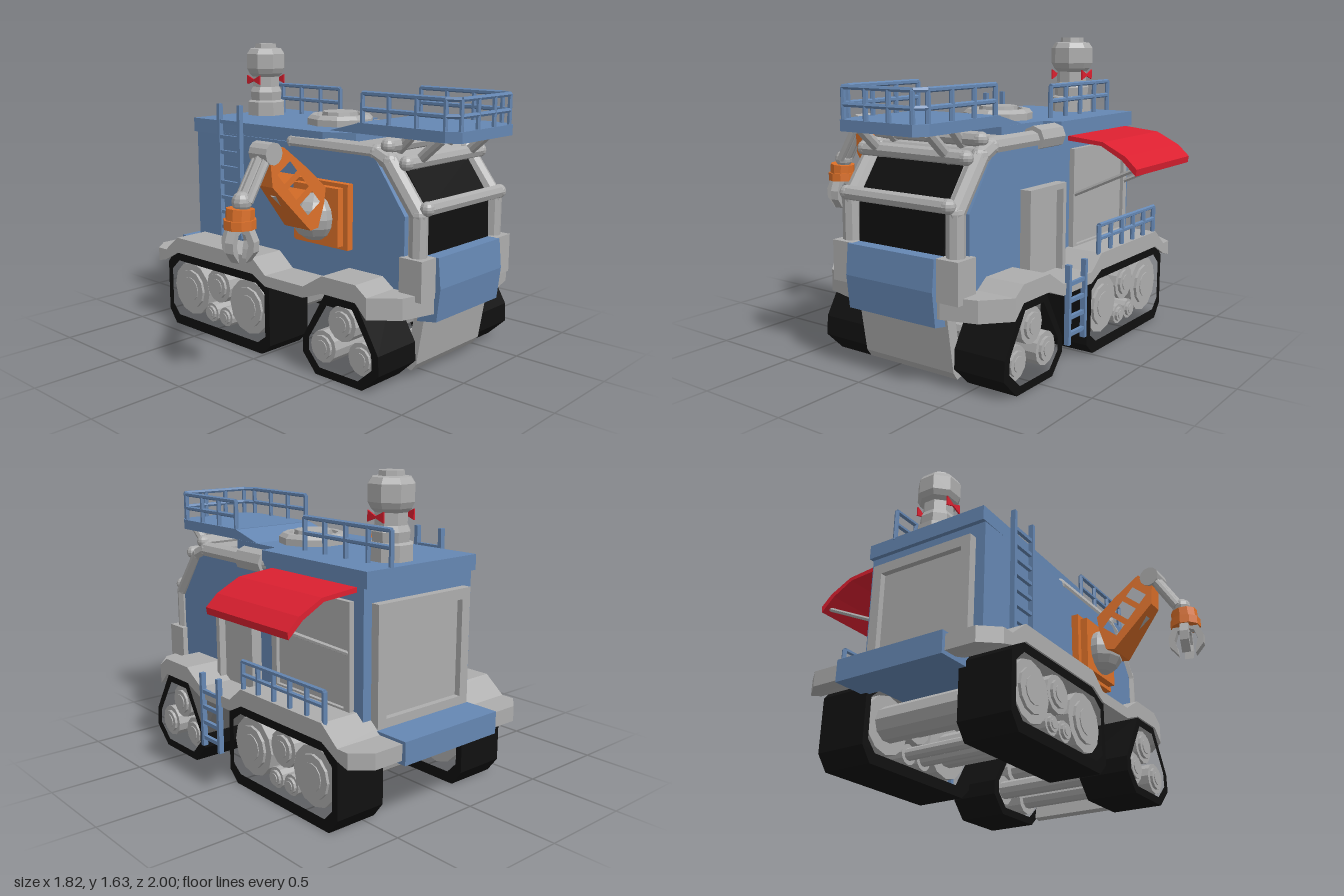
import * as THREE from 'three';

export function createModel() {
  const root = new THREE.Group();
  root.name = 'trackedRover';
  const mat = (name, color) => { const m = new THREE.MeshStandardMaterial({ color }); m.name = name; return m; };
  const blue = mat('blue paint', 0x6587b3), gray = mat('gray metal', 0xadadad), black = mat('black rubber', 0x101010);
  const orange = mat('orange paint', 0xdc7029), red = mat('red canvas', 0xdb2030);
  const CX = 0.145;                                   // hull centre line
  const V = (x, y, z) => new THREE.Vector3(x, y, z);

  // Helpers: every part gets faceted normals
  function add(name, m, geo, parent = root) {
    const g = geo.index ? geo.toNonIndexed() : geo;
    g.computeVertexNormals();
    const mesh = new THREE.Mesh(g, m);
    mesh.name = name;
    parent.add(mesh);
    return mesh;
  }
  const box = (name, m, x0, x1, y0, y1, z0, z1, p) =>
    add(name, m, new THREE.BoxGeometry(x1 - x0, y1 - y0, z1 - z0).translate((x0 + x1) / 2, (y0 + y1) / 2, (z0 + z1) / 2), p);
  function extrude(pts, depth, holes = []) {
    const s = new THREE.Shape(pts.map(p => new THREE.Vector2(...p)));
    for (const h of holes) s.holes.push(new THREE.Path(h.map(p => new THREE.Vector2(...p))));
    return new THREE.ExtrudeGeometry(s, { depth, bevelEnabled: false });
  }
  // Outline in (z, y), spanning x0..x1
  const prismX = (name, m, pts, x0, x1, holes, p) =>
    add(name, m, extrude(pts, x1 - x0, holes).rotateY(-Math.PI / 2).translate(x1, 0, 0), p);
  // Outline in (x, z), spanning y0..y1
  const prismY = (name, m, pts, y0, y1, p) =>
    add(name, m, extrude(pts, y1 - y0).rotateX(Math.PI / 2).translate(0, y1, 0), p);
  function rod(name, m, a, b, r, n = 8, p = root, r2 = r) {
    const mesh = add(name, m, new THREE.CylinderGeometry(r2, r, a.distanceTo(b), n), p);
    mesh.position.copy(a).add(b).multiplyScalar(0.5);
    mesh.quaternion.setFromUnitVectors(V(0, 1, 0), b.clone().sub(a).normalize());
    return mesh;
  }
  const ball = (name, m, c, r, p) => add(name, m, new THREE.SphereGeometry(r, 10, 8).translate(c.x, c.y, c.z), p);
  const lathe = (name, m, prof, n, x, z) =>
    add(name, m, new THREE.LatheGeometry(prof.map(p => new THREE.Vector2(...p)), n).rotateY(Math.PI / n).translate(x, 0, z));
  // Recessed panel with a raised border, facing +z before rotation
  function framedPanel(name, w, h, border, depth) {
    const g = new THREE.Group();
    g.name = name;
    const rect = (a, b) => [[-a, -b], [a, -b], [a, b], [-a, b]];
    add('border', gray, extrude(rect(w / 2, h / 2), depth, [rect(w / 2 - border, h / 2 - border)]), g);
    box('panel', gray, -w / 2 + border, w / 2 - border, -h / 2 + border, h / 2 - border, 0, depth * 0.35, g);
    root.add(g);
    return g;
  }
  // Railing along [x, z] points
  function railing(name, pts, y0, heights, posts, r = 0.013) {
    const g = new THREE.Group();
    g.name = name;
    for (let i = 0; i < pts.length - 1; i++) {
      const [a, b] = [pts[i], pts[i + 1]];
      for (const h of heights) rod('rail', blue, V(a[0], h, a[1]), V(b[0], h, b[1]), r, 6, g);
      for (let k = 0; k <= posts[i]; k++) {
        const t = k / posts[i], x = a[0] + (b[0] - a[0]) * t, z = a[1] + (b[1] - a[1]) * t;
        rod('post', blue, V(x, y0, z), V(x, heights[0], z), r, 6, g);
      }
    }
    root.add(g);
  }
  function ladder(name, x, z0, z1, y0, y1, rungs) {
    const g = new THREE.Group();
    g.name = name;
    for (const z of [z0, z1]) box('upright', blue, x - 0.014, x + 0.014, y0, y1, z - 0.011, z + 0.011, g);
    for (let i = 0; i < rungs; i++) {
      const y = y0 + 0.05 + (y1 - y0 - 0.15) * i / (rungs - 1);
      box('rung', blue, x - 0.01, x + 0.01, y - 0.01, y + 0.01, z0, z1, g);
    }
    root.add(g);
  }

  // Tracks and wheels
  const tracks = [
    { name: 'front', c: [0.54, 0.2], s: [0.83, 0.79],
      pts: [[0.69, 0], [0.38, 0], [0.29, 0.10], [0.29, 0.18], [0.45, 0.45], [0.64, 0.45], [0.79, 0.2], [0.795, 0.1]],
      wheels: [[0.54, 0.30, 0.092], [0.67, 0.15, 0.086], [0.415, 0.15, 0.086]] },
    { name: 'rear', c: [-0.388, 0.225], s: [0.915, 0.74],
      pts: [[-0.02, 0], [-0.76, 0], [-0.82, 0.08], [-0.82, 0.37], [-0.75, 0.45], [-0.03, 0.45], [0.04, 0.39], [0.045, 0.06]],
      wheels: [[-0.14, 0.235, 0.155], [-0.63, 0.235, 0.155], [-0.393, 0.3, 0.098], [-0.335, 0.13, 0.055], [-0.455, 0.13, 0.055]] }];
  for (const t of tracks) {
    const hole = t.pts.map(p => p.map((v, i) => t.c[i] + (v - t.c[i]) * t.s[i]));
    for (const [x0, x1, out] of [[-0.42, -0.13, -0.42], [0.425, 0.71, 0.71]]) {
      prismX(t.name + 'Track', black, t.pts, x0, x1, [hole]);
      const s = Math.sign(out);
      for (const [z, y, r] of t.wheels) {
        rod(t.name + 'Wheel', gray, V(x0 + 0.02, y, z), V(x1 - 0.02, y, z), r, 12);
        rod('hub', gray, V(out - s * 0.03, y, z), V(out - s * 0.005, y, z), r * 0.72, 12);
        rod('hubCap', gray, V(out - s * 0.02, y, z), V(out, y, z), r * 0.45, 12);
      }
    }
    for (const [z, y, r] of t.wheels) rod('axle', gray, V(-0.15, y, z), V(0.45, y, z), r * 0.6, 10);
  }

  // Stepped fender deck: box rings moved to [z, half width, bottom, top]
  const st = [[-0.98, 0.48, 0.36, 0.44], [-0.9, 0.575, 0.36, 0.44], [-0.83, 0.575, 0.38, 0.44], [-0.72, 0.575, 0.44, 0.53],
    [-0.08, 0.575, 0.44, 0.53], [0.02, 0.575, 0.39, 0.45], [0.3, 0.575, 0.39, 0.45], [0.43, 0.575, 0.44, 0.53],
    [0.65, 0.575, 0.44, 0.53], [0.72, 0.575, 0.37, 0.48], [0.85, 0.46, 0.37, 0.48], [0.9, 0.28, 0.37, 0.48]];
  const deck = new THREE.BoxGeometry(2, 2, 1, 1, 1, st.length - 1), dp = deck.attributes.position;
  for (let i = 0; i < dp.count; i++) {
    const [z, w, b, t] = st[Math.round((dp.getZ(i) + 0.5) * (st.length - 1))];
    dp.setXYZ(i, CX + dp.getX(i) * w, dp.getY(i) > 0 ? t : b, z);
  }
  add('fenderDeck', gray, deck);
  box('underbody', blue, -0.12, 0.41, 0.37, 0.46, -0.8, 0.78);
  prismY('rearBumper', blue, [[-0.17, -0.8], [-0.17, -1], [0.46, -1], [0.46, -0.8]], 0.34, 0.455);

  // Hull, roof and front platform
  prismX('hull', blue, [[0.78, 0.45], [0.78, 0.85], [0.6, 1.1], [0.55, 1.14], [-0.765, 1.14], [-0.765, 0.45]], -0.22, 0.505);
  prismY('roof', blue, [[-0.225, -0.79], [0.51, -0.79], [0.51, 0], [0.41, 0.02], [0.4, 0.38], [-0.12, 0.38], [-0.2, 0.22]], 1.13, 1.21);
  prismX('platformRamp', blue, [[0.4, 1.265], [0.2, 1.21], [0.28, 1.2], [0.4, 1.21]], -0.12, 0.4);
  prismY('platform', blue, [[-0.12, 0.39], [0.4, 0.39], [0.4, 0.93], [0.36, 1], [-0.08, 1], [-0.12, 0.93]], 1.21, 1.265);
  railing('platformRailing', [[-0.105, 0.41], [-0.105, 0.92], [-0.07, 0.985], [0.35, 0.985], [0.385, 0.92], [0.385, 0.41]],
    1.25, [1.415, 1.335], [3, 1, 3, 1, 3]);
  railing('roofRailing', [[0.35, -0.15], [0.35, -0.78]], 1.2, [1.38, 1.3], [4]);
  ladder('sideLadder', -0.24, -0.54, -0.37, 0.55, 1.31, 8);
  ladder('bodyLadder', 0.725, 0.11, 0.265, 0.13, 0.54, 4);
  for (const z of [0.11, 0.265]) box('ladderBracket', blue, 0.68, 0.725, 0.42, 0.44, z - 0.01, z + 0.01);

  // Cab front: frame, windows, tubes, nose
  prismX('cabFrame', gray, [[0.84, 0.4], [0.83, 0.87], [0.64, 1.13], [0.56, 1.17], [0.4, 1.17], [0.4, 1.1], [0.6, 1.08], [0.76, 0.85], [0.76, 0.4]], -0.19, 0.48);
  prismX('windows', black, [[0.85, 0.64], [0.84, 0.874], [0.705, 1.06], [0.695, 1.05], [0.83, 0.865], [0.835, 0.64]], -0.12, 0.41);
  const tubePath = [[0.835, 0.45], [0.835, 0.86], [0.65, 1.1], [0.57, 1.135], [0, 1.135]];
  for (const x of [-0.18, 0.47]) {
    for (let i = 0; i < 4; i++) {
      const [a, b] = [tubePath[i], tubePath[i + 1]];
      rod('cageTube', gray, V(x, a[1], a[0]), V(x, b[1], b[0]), 0.046);
      ball('cageJoint', gray, V(x, b[1], b[0]), 0.046);
    }
    box('cageFoot', gray, x - 0.065, x + 0.065, 0.45, 0.655, 0.77, 0.905);
  }
  rod('tubeSleeve', gray, V(0.475, 1.14, 0), V(0.475, 1.14, 0.21), 0.064);
  for (const [z, y] of [[0.875, 0.895], [0.745, 1.1], [0.63, 1.175]]) {
    rod('crossBar', gray, V(-0.17, y, z), V(0.46, y, z), 0.036);
    for (const x of [-0.17, 0.46]) ball('barEnd', gray, V(x, y, z), 0.037);
  }
  for (const x of [-0.075, 0.35]) {
    rod('platformStrut', gray, V(x, 1.22, 0.88), V(x, 1.08, 0.72), 0.028);
    rod('platformStrut', gray, V(x, 1.22, 0.7), V(x, 1.12, 0.6), 0.028);
  }
  prismX('nosePlate', blue, [[0.92, 0.655], [0.935, 0.5], [0.915, 0.33], [0.8, 0.31], [0.82, 0.655]], -0.13, 0.41);
  prismX('lowerApron', gray, [[0.85, 0.38], [0.8, 0.08], [0.77, 0.04], [0.73, 0.05], [0.79, 0.38]], -0.13, 0.425);

  // Doors, rear hatch and side bay
  const door = framedPanel('sideDoor', 0.335, 0.5, 0.03, 0.06);
  door.position.set(0.505, 0.655, 0.197);
  door.rotation.y = Math.PI / 2;
  const back = framedPanel('rearDoor', 0.62, 0.61, 0.055, 0.05);
  back.position.set(CX, 0.75, -0.762);
  back.rotation.y = Math.PI;
  const bay = framedPanel('sideBay', 0.6, 0.56, 0.04, 0.03);
  bay.position.set(0.503, 0.78, -0.4);
  bay.rotation.y = Math.PI / 2;
  railing('bayRailing', [[0.7, -0.08], [0.7, -0.72]], 0.5, [0.675, 0.605], [5]);

  // Awning
  add('awning', red, extrude([[0.5, 1.105], [0.7, 1.09], [0.82, 1.025], [0.9, 0.95], [0.905, 0.985], [0.84, 1.045], [0.71, 1.11], [0.5, 1.13]], 0.64).translate(0, 0, -0.72));
  for (const z of [-0.12, -0.68]) rod('awningBrace', gray, V(0.52, 0.81, z), V(0.88, 0.98, z), 0.012, 6);

  // Roof hatch and sensor turret
  lathe('roofHatch', gray, [[0.185, 1.2], [0.185, 1.245], [0.165, 1.265], [0.135, 1.265], [0.13, 1.25], [0.105, 1.25], [0.1, 1.28], [0, 1.28]], 10, 0.14, 0.04);
  lathe('turret', gray, [[0.115, 1.2], [0.115, 1.29], [0.095, 1.3], [0.1, 1.35], [0.085, 1.38], [0.085, 1.44], [0.105, 1.46],
    [0.12, 1.49], [0.12, 1.575], [0.1, 1.605], [0.068, 1.61], [0.065, 1.635], [0, 1.635]], 8, 0.2, -0.62);
  for (const s of [-1, 1])
    prismX('turretMark', red, [[-0.675, 1.45], [-0.62, 1.425], [-0.565, 1.45], [-0.565, 1.395], [-0.62, 1.415], [-0.675, 1.395]],
      0.2 + s * 0.1 - 0.004, 0.2 + s * 0.1 + 0.004);

  // Manipulator arm
  const arm = new THREE.Group(), AZ = 0.265;
  arm.name = 'manipulatorArm';
  root.add(arm);
  box('mountPlate', orange, -0.26, -0.215, 0.63, 0.97, 0.08, 0.45, arm);
  box('mountPad', orange, -0.3, -0.25, 0.65, 0.95, 0.11, 0.42, arm);
  ball('shoulder', gray, V(-0.3, 0.79, AZ), 0.125, arm);
  const slot = (t0, t1) => [[t0, -1], [t1, -1], [t1, 1], [t0, 1]].map(([t, s]) =>
    [-0.41 - 0.18 * t + s * 0.036, 0.86 + 0.23 * t + s * 0.03]);
  const upper = extrude([[-0.43, 0.75], [-0.645, 0.99], [-0.655, 1.105], [-0.58, 1.18], [-0.44, 1.06], [-0.34, 0.96], [-0.35, 0.88], [-0.385, 0.76]],
    1, [slot(0, 0.26), slot(0.37, 0.63), slot(0.74, 0.96)]).translate(0, 0, -0.5);
  const up = upper.attributes.position;
  for (let i = 0; i < up.count; i++) {              // widens toward the shoulder
    const w = THREE.MathUtils.mapLinear(up.getX(i), -0.655, -0.34, 0.09, 0.22);
    up.setZ(i, AZ + up.getZ(i) * w);
  }
  add('upperArm', orange, upper, arm);
  rod('piston', gray, V(-0.585, 0.955, AZ), V(-0.47, 0.85, AZ), 0.03, 8, arm);
  rod('elbow', gray, V(-0.645, 1.155, AZ - 0.06), V(-0.645, 1.155, AZ + 0.06), 0.055, 12, arm);
  rod('elbowLink', gray, V(-0.645, 1.17, AZ), V(-0.57, 1.13, AZ), 0.035, 8, arm);
  for (const d of [-0.035, 0, 0.035])
    rod('forearmRod', gray, V(-0.665, 1.14, AZ + d), V(-0.79, 0.94, AZ + d), d ? 0.022 : 0.032, 8, arm);
  ball('wristJoint', gray, V(-0.8, 0.94, AZ), 0.05, arm);
  rod('wristCollar', orange, V(-0.815, 0.85, AZ), V(-0.81, 0.91, AZ), 0.07, 10, arm);
  rod('wristRing', orange, V(-0.815, 0.815, AZ), V(-0.815, 0.86, AZ), 0.08, 10, arm);
  for (let i = 0; i < 4; i++) {
    const claw = add('claw', gray, extrude([[0.02, 0.83], [0.065, 0.82], [0.093, 0.76], [0.09, 0.71], [0.045, 0.655], [0.05, 0.7], [0.062, 0.74], [0.045, 0.79], [0.02, 0.8]], 0.046).translate(0, 0, -0.023), arm);
    claw.position.set(-0.815, 0, AZ);
    claw.rotation.y = Math.PI / 4 * (2 * i + 0.3);
  }
  return root;
}
